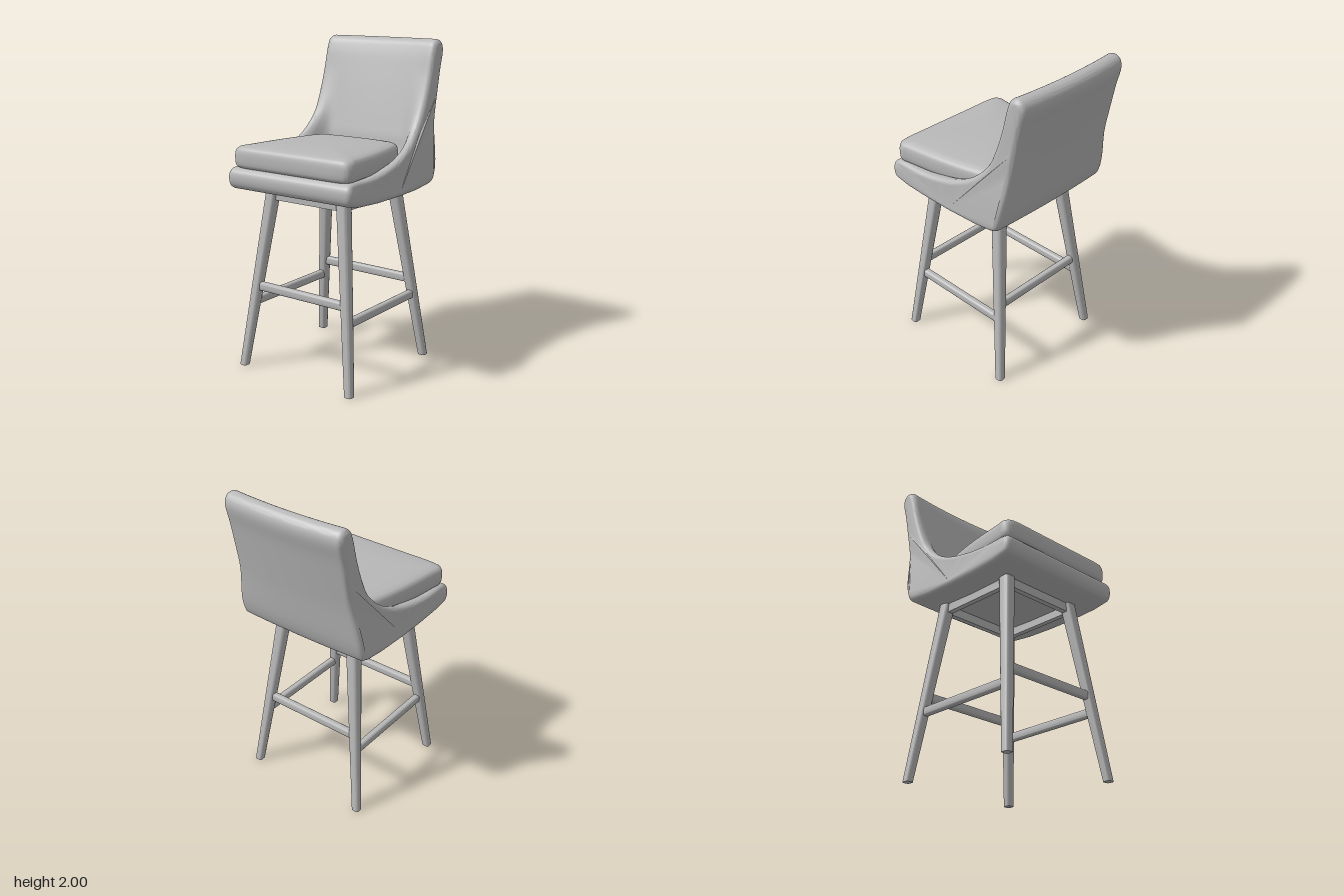
import * as THREE from 'three';
import { toCreasedNormals } from 'three/addons/utils/BufferGeometryUtils.js';

const { lerp, smoothstep } = THREE.MathUtils;
const V3 = (x, y, z) => new THREE.Vector3(x, y, z);
const V2 = (x, y) => new THREE.Vector2(x, y);

// Skin a list of equal-length rings and cap both ends; flat() maps a ring point to 2D.
function loft(rings, flat, crease = 0.9) {
  const n = rings[0].length, last = (rings.length - 1) * n;
  const pts = rings.flat(), idx = [];
  for (let i = 0; i < rings.length - 1; i++) {
    for (let j = 0; j < n; j++) {
      const a = i * n + j, b = i * n + (j + 1) % n;
      idx.push(a, b, a + n, b, b + n, a + n);
    }
  }
  const cap = (ring) => THREE.ShapeUtils.triangulateShape(ring.map(flat), [])
    .map((f) => [...f].sort((p, q) => p - q));
  for (const [a, b, c] of cap(rings[0])) idx.push(c, b, a);
  for (const [a, b, c] of cap(rings[rings.length - 1])) idx.push(last + a, last + b, last + c);

  // Turn the faces outward
  let volume = 0;
  for (let i = 0; i < idx.length; i += 3) {
    volume += pts[idx[i]].dot(V3().crossVectors(pts[idx[i + 1]], pts[idx[i + 2]]));
  }
  if (volume < 0) idx.reverse();

  const geo = new THREE.BufferGeometry().setFromPoints(pts);
  geo.setIndex(idx);
  return toCreasedNormals(geo, crease);
}

// Upholstered shell: side profiles (z, y) blended from the centre out to the wings
function shellGeometry() {
  const front = [[0.5, 1.137], [0.53, 1.17], [0.53, 1.235], [0.5, 1.263]];
  const wing = [[0.32, 1.268], [0.17, 1.285], [0, 1.33], [-0.13, 1.4], [-0.235, 1.51], [-0.295, 1.62]];
  const middle = [[0.32, 1.265], [0.1, 1.265], [-0.1, 1.265], [-0.225, 1.29], [-0.262, 1.42], [-0.305, 1.58]];
  const back = [[-0.36, 1.78], [-0.405, 1.93], [-0.43, 1.98], [-0.47, 2], [-0.51, 1.985], [-0.53, 1.94],
    [-0.5, 1.8], [-0.44, 1.5], [-0.375, 1.18], [-0.34, 1.14]];
  const radius = 0.035, samples = 110;

  const section = (s, theta) => {
    const w = smoothstep(Math.abs(s), 0.68, 0.98);
    const blend = middle.map(([z, y], i) => [lerp(z, wing[i][0], w), lerp(y, wing[i][1], w)]);
    const curve = new THREE.CatmullRomCurve3(
      [...front, ...blend, ...back].map(([z, y]) => V3(z, y, 0)), true, 'centripetal');
    const p = curve.getPoints(samples).slice(0, samples);
    const inset = radius * (1 - Math.cos(theta));
    return p.map((q, i) => {
      const t = p[(i + 1) % samples].clone().sub(p[(i + samples - 1) % samples]).normalize();
      const y = q.y - t.x * inset;
      let z = q.x + t.y * -inset;
      // the profile runs counter-clockwise, so its inner side is to the left
      z = q.x - t.y * inset;
      const yIn = q.y + t.x * inset;
      const bow = 0.02 * s * s * smoothstep(-z, 0.25, 0.45);
      const half = 0.412 + 0.043 * smoothstep(1.55 - y, 0, 0.35);
      return V3(s * (half - radius) + radius * Math.sin(theta), yIn, z + bow);
    });
  };

  const rings = [];
  const ends = 6, steps = 32;
  for (let i = ends; i > 0; i--) rings.push(section(-1, -i / ends * Math.PI / 2));
  for (let i = 0; i <= steps; i++) rings.push(section(-1 + 2 * i / steps, 0));
  for (let i = 1; i <= ends; i++) rings.push(section(1, i / ends * Math.PI / 2));
  return loft(rings, (p) => V2(p.z, p.y));
}

// Seat cushion: tapered outline stacked in layers with a soft edge and a crowned top
function cushionGeometry() {
  const half = [[0.2, 0.515], [0.36, 0.514], [0.41, 0.503], [0.43, 0.47], [0.424, 0.42], [0.39, 0.15],
    [0.345, -0.06], [0.315, -0.15], [0.27, -0.192], [0.2, -0.21]];
  const mirrored = half.map(([x, z]) => [-x, z]).reverse();
  const outline = new THREE.CatmullRomCurve3(
    [[0, 0.515], ...half, [0, -0.22], ...mirrored].map(([x, z]) => V3(x, 0, z)), true, 'centripetal')
    .getPoints(110).slice(0, 110);
  const layers = [[0.5, 1.262], [0.95, 1.264], [0.98, 1.272], [0.995, 1.287], [1, 1.31], [1, 1.34],
    [0.993, 1.363], [0.975, 1.38], [0.94, 1.39], [0.85, 1.397], [0.65, 1.404], [0.4, 1.409], [0.15, 1.411]];
  const midZ = 0.17;
  const rings = layers.map(([k, y]) => outline.map((p) => V3(p.x * k, y, midZ + (p.z - midZ) * k)));
  return loft(rings, (p) => V2(p.x, p.z));
}

// Bar from a to b with a rounded-square section in the plane of u and v
function barGeometry(a, b, u, v, sizeA, sizeB) {
  const ring = (c, [w, h]) => Array.from({ length: 28 }, (_, i) => {
    const t = (i + 0.5) / 28 * Math.PI * 2, cos = Math.cos(t), sin = Math.sin(t);
    const r = 0.5 / Math.pow(cos ** 4 + sin ** 4, 0.25);
    return c.clone().addScaledVector(u, cos * r * w).addScaledVector(v, sin * r * h);
  });
  return loft([ring(a, sizeA), ring(b, sizeB)], (p) => V2(p.dot(u), p.dot(v)), 0.8);
}

export function createModel() {
  const model = new THREE.Group();
  model.name = 'counterStool';
  const grey = new THREE.MeshStandardMaterial({ color: 0xb8b8b8 });
  grey.name = 'plainGrey';
  const add = (name, geo) => {
    const mesh = new THREE.Mesh(geo, grey);
    mesh.name = name;
    model.add(mesh);
    return mesh;
  };
  const X = V3(1, 0, 0), Y = V3(0, 1, 0), Z = V3(0, 0, 1);

  add('seatShell', shellGeometry());
  add('seatCushion', cushionGeometry());

  // Splayed legs: centre line from foot to seat
  const legAt = (side, end, y) => {
    const t = y / 1.14;
    return V3(side * lerp(0.405, 0.26, t), y,
      end === 'front' ? lerp(0.47, 0.328, t) : lerp(-0.335, -0.19, t));
  };
  for (const end of ['front', 'back']) {
    for (const side of [1, -1]) {
      add(`${end}${side > 0 ? 'Left' : 'Right'}Leg`,
        barGeometry(legAt(side, end, 0), legAt(side, end, 1.15), X, Z, [0.05, 0.05], [0.077, 0.077]));
    }
    // Cross stretcher and apron
    add(`${end}Stretcher`,
      barGeometry(legAt(-1, end, 0.517), legAt(1, end, 0.517), Z, Y, [0.042, 0.054], [0.042, 0.054]));
    const apron = add(`${end}Apron`, new THREE.BoxGeometry(0.52, 0.085, 0.035));
    apron.position.set(0, 1.1025, legAt(1, end, 1.1).z);
  }

  // Side stretchers and aprons
  for (const side of [1, -1]) {
    const name = side > 0 ? 'left' : 'right';
    add(`${name}Stretcher`,
      barGeometry(legAt(side, 'back', 0.418), legAt(side, 'front', 0.418), X, Y, [0.042, 0.054], [0.042, 0.054]));
    const apron = add(`${name}Apron`, new THREE.BoxGeometry(0.035, 0.085, 0.52));
    apron.position.set(legAt(side, 'front', 1.1).x, 1.1025, 0.07);
  }
  return model;
}
